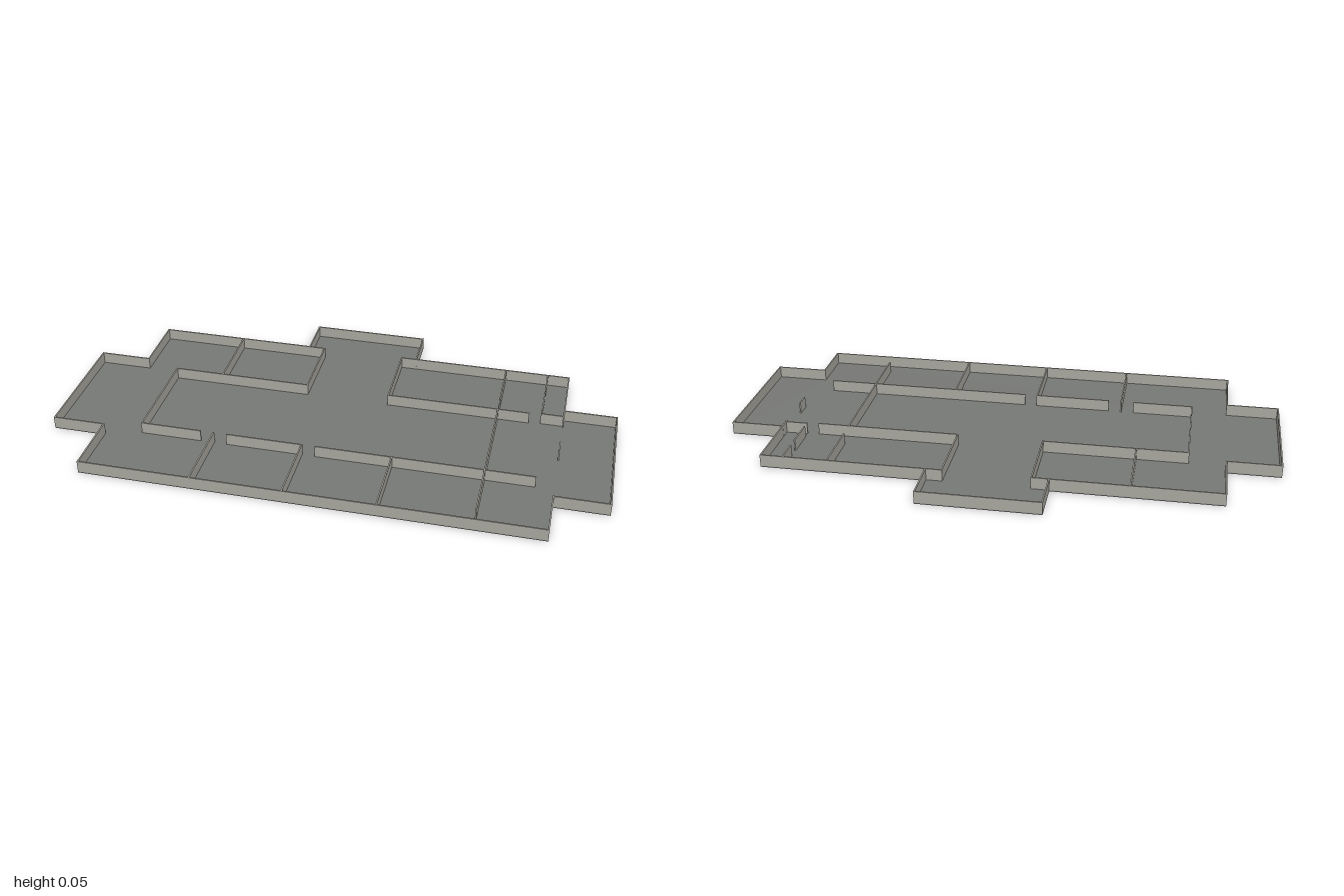
import * as THREE from 'three';

const T = 0.005;      // wall thickness
const FLOOR = 0.004;  // slab thickness
const H = 0.047;      // top of the walls

// Building footprint as [x, z] corners
const OUTLINE = [
  [-0.217, -0.509], [0.217, -0.509], [0.217, -0.35], [0.81, -0.35],
  [0.81, -0.12], [1, -0.12], [1, 0.398], [0.81, 0.398], [0.81, 0.575],
  [-0.81, 0.575], [-0.81, 0.343], [-1, 0.343], [-1, -0.12], [-0.81, -0.12],
  [-0.81, -0.35], [-0.217, -0.35],
];

// Footprint moved inwards by d, drawn with y = -z
const points = (d) => OUTLINE.map(([x, z]) => new THREE.Vector2(
  x - Math.sign(x) * d, -(z - Math.sign(z - 0.1) * d)));

const slab = (shape, depth, y) => new THREE.ExtrudeGeometry(shape, { depth, bevelEnabled: false })
  .rotateX(-Math.PI / 2).translate(0, y, 0);

// Partitions along x: [z, start, end]
const ALONG_X = [
  [-0.075, -0.675, -0.155], [-0.075, 0.157, 0.68], [-0.081, 0.727, 0.805],
  [0.303, -0.675, -0.455], [0.303, -0.355, -0.08], [0.303, -0.03, 0.74],
  [-0.347, -0.217, -0.155], [-0.347, 0.157, 0.214],
];

// Partitions along z: [x, start, end]
const ALONG_Z = [
  [-0.49, -0.35, -0.075], [-0.155, -0.35, -0.075], [0.157, -0.35, -0.075],
  [0.567, -0.35, -0.14], [0.567, -0.075, 0.52],
  [0.727, -0.35, -0.26], [0.727, -0.22, -0.105],
  [0.807, -0.12, -0.07], [0.807, 0.08, 0.135],
  [-0.675, -0.075, 0.303],
  [-0.405, 0.3, 0.572], [-0.08, 0.3, 0.572], [0.243, 0.3, 0.572],
];

export function createModel() {
  const group = new THREE.Group();
  group.name = 'floorPlan';
  const floorMaterial = new THREE.MeshStandardMaterial({ color: 0x777976 });
  const wallMaterial = new THREE.MeshStandardMaterial({ color: 0xaaa8a0 });

  const add = (name, geometry, material, parent = group) => {
    const mesh = new THREE.Mesh(geometry, material);
    mesh.name = name;
    parent.add(mesh);
    return mesh;
  };

  // Floor slab
  add('floor', slab(new THREE.Shape(points(0)), FLOOR, 0), floorMaterial);

  // Outer wall as a ring around the footprint; the hole runs the other way round
  const ring = new THREE.Shape(points(0));
  ring.holes.push(new THREE.Path(points(T).reverse()));
  const h = H - FLOOR;
  add('outerWall', slab(ring, h, FLOOR), wallMaterial);

  // Inner partitions, with the gaps between them as doorways
  const partitions = new THREE.Group();
  partitions.name = 'partitions';
  partitions.position.y = FLOOR + h / 2;
  group.add(partitions);
  for (const [z, a, b] of ALONG_X) {
    add('partition', new THREE.BoxGeometry(b - a + T, h, T), wallMaterial, partitions)
      .position.set((a + b) / 2, 0, z);
  }
  for (const [x, a, b] of ALONG_Z) {
    add('partition', new THREE.BoxGeometry(T, h, b - a), wallMaterial, partitions)
      .position.set(x, 0, (a + b) / 2);
  }
  return group;
}
